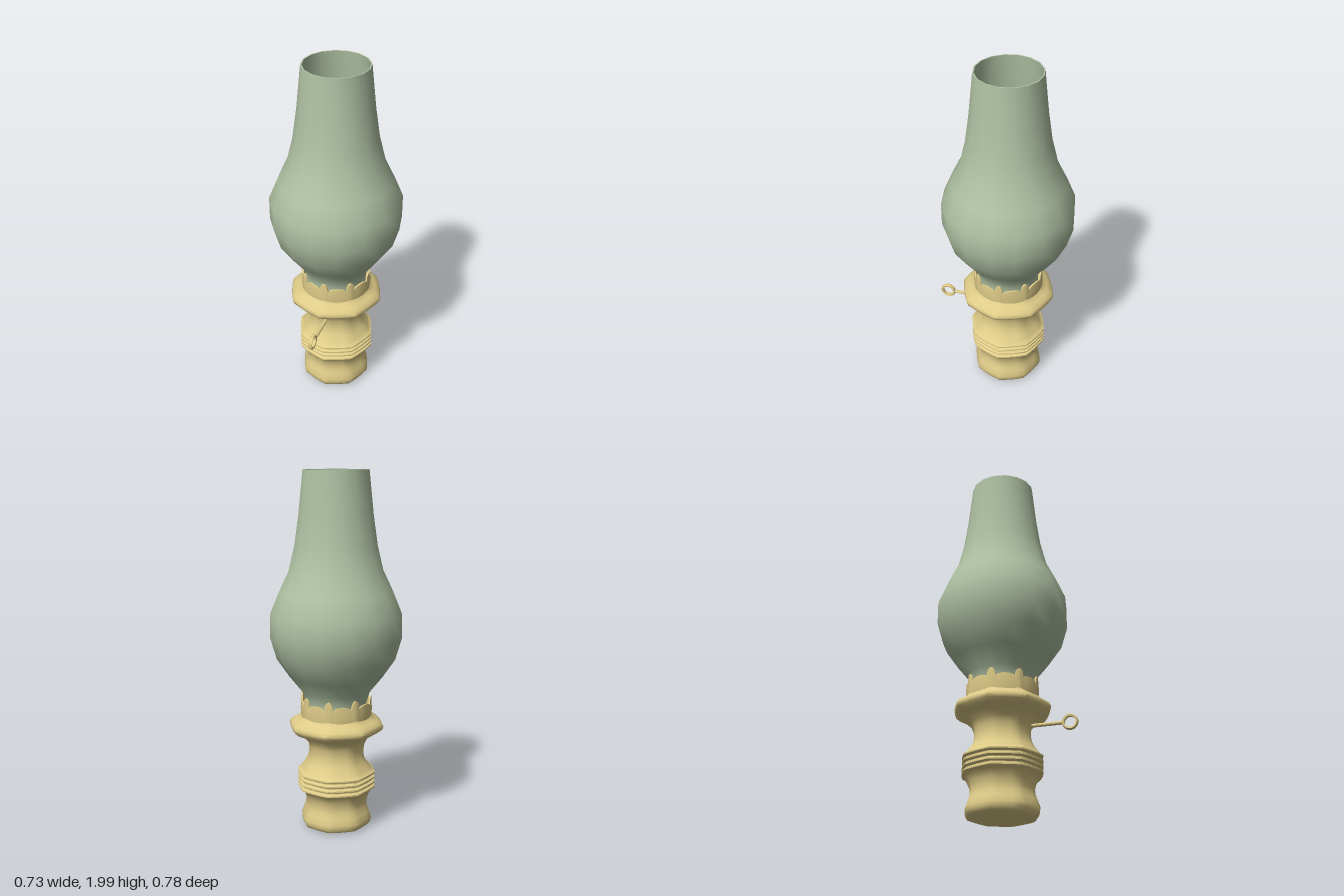
import * as THREE from 'three';
import { toCreasedNormals } from 'three/addons/utils/BufferGeometryUtils.js';

const brass = new THREE.MeshStandardMaterial({ color: 0xdecb88 });
brass.name = 'brass';
const glass = new THREE.MeshStandardMaterial({ color: 0xafc1a2 });
glass.name = 'smoky green glass';
const violet = new THREE.MeshStandardMaterial({ color: 0x3a1a9c });
violet.name = 'violet wick';

const lathe = (pairs, sides) =>
  new THREE.LatheGeometry(pairs.map(([r, y]) => new THREE.Vector2(r, y)), sides);

function part(name, geometry, material, crease = 0.9) {
  const mesh = new THREE.Mesh(toCreasedNormals(geometry, crease), material);
  mesh.name = name;
  return mesh;
}

// Pull a round turning towards an octagon with softened corners on the axes
function octagonize(geometry, blend) {
  const p = geometry.attributes.position;
  const step = Math.PI / 4;
  for (let i = 0; i < p.count; i++) {
    const a = Math.atan2(p.getX(i), p.getZ(i)) + Math.PI * 2;
    const fromFace = (a % step) - step / 2;
    const k = 1 - blend + blend * Math.cos(step / 2) / Math.cos(fromFace);
    p.setX(i, p.getX(i) * k);
    p.setZ(i, p.getZ(i) * k);
  }
  return geometry;
}

// Scalloped rim height: eight tall prongs with a low scallop between each pair
function rimHeight(angle) {
  const step = Math.PI / 4, half = 0.13;
  const a = (angle + Math.PI * 2) % step;
  const d = Math.min(a, step - a);
  if (d < half) return 0.72 + 0.05 * Math.sqrt(1 - (d / half) ** 2);
  const e = (step / 2 - d) / (step / 2 - half);
  return 0.72 + 0.018 * Math.sqrt(Math.max(0, 1 - e * e));
}

export function createModel() {
  const model = new THREE.Group();
  model.name = 'oilLamp';
  const lamp = new THREE.Group();
  lamp.name = 'lampBody';
  lamp.position.z = -0.025;
  model.add(lamp);

  // Reservoir, ridged collar and flange in one turning
  const profile = [[0, 0.006], [0.17, 0.006], [0.19, 0.014], [0.201, 0.032], [0.203, 0.055],
    [0.19, 0.09], [0.179, 0.12], [0.176, 0.15], [0.184, 0.185], [0.202, 0.222]];
  for (let i = 0; i < 4; i++) {
    const y = 0.23 + i * 0.028;
    profile.push([0.209, y - 0.003], [0.223, y + 0.005], [0.223, y + 0.013], [0.209, y + 0.02]);
  }
  profile.push([0.2, 0.346], [0.178, 0.375], [0.163, 0.405], [0.157, 0.44], [0.16, 0.48],
    [0.175, 0.515], [0.205, 0.543], [0.243, 0.561], [0.264, 0.578], [0.27, 0.595],
    [0.262, 0.613], [0.235, 0.63], [0.21, 0.642], [0.2, 0.66], [0, 0.664]);
  lamp.add(part('base', octagonize(lathe(profile, 32), 0.65), brass));

  // Pronged gallery that grips the chimney
  const gallery = lathe([[0.186, 0.65], [0.2, 0.65], [0.203, 0.69], [0.2, 0.75],
    [0.19, 0.75], [0.19, 0.69], [0.186, 0.65]], 192);
  const p = gallery.attributes.position;
  for (let i = 0; i < p.count; i++) {
    if (p.getY(i) > 0.72) p.setY(i, rimHeight(Math.atan2(p.getX(i), p.getZ(i))));
  }
  lamp.add(part('gallery', octagonize(gallery, 0.3), brass));

  // Thin-walled glass chimney, open at the top
  const outer = [[0.176, 0.665], [0.172, 0.73], [0.19, 0.79], [0.262, 0.88], [0.33, 0.98],
    [0.365, 1.1], [0.365, 1.23], [0.315, 1.35], [0.262, 1.46], [0.228, 1.6],
    [0.205, 1.76], [0.18, 2]];
  const inner = outer.map(([r, y]) => [r - 0.007, y]).reverse();
  lamp.add(part('chimney', lathe([...outer, ...inner], 16), glass));

  // Wick
  const wick = part('wick', new THREE.ConeGeometry(0.03, 0.12, 20), violet);
  wick.position.y = 0.724;
  lamp.add(wick);

  // Wick adjuster: rod and flat ring at the front
  const adjuster = new THREE.Group();
  adjuster.name = 'wickAdjuster';
  adjuster.position.y = 0.492;
  const rod = part('adjusterRod', new THREE.CylinderGeometry(0.01, 0.01, 0.2, 12), brass);
  rod.rotation.x = Math.PI / 2;
  rod.position.z = 0.21;
  const ring = part('adjusterRing', lathe([[0.03, -0.009], [0.039, -0.011], [0.043, -0.006],
    [0.043, 0.006], [0.039, 0.011], [0.03, 0.009], [0.03, -0.009]], 28), brass);
  ring.rotation.z = Math.PI / 2;
  ring.position.z = 0.346;
  adjuster.add(rod, ring);
  model.add(adjuster);

  return model;
}
